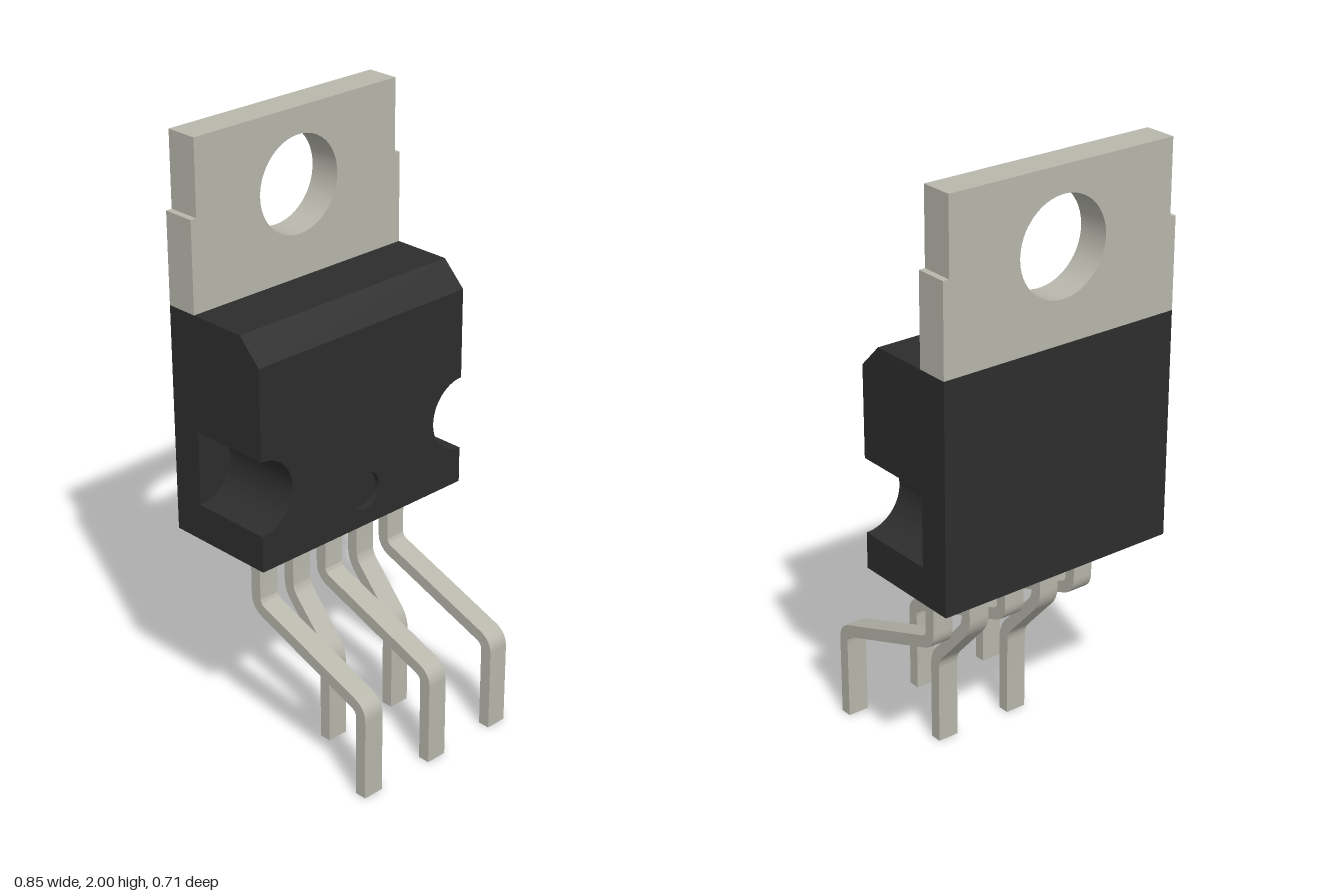
import * as THREE from 'three';
import { toCreasedNormals } from 'three/addons/utils/BufferGeometryUtils.js';

const W = 0.425;                       // half width
const BACK = -0.357, STEP = -0.248, FRONT = 0.033;

const V = (x, y) => new THREE.Vector2(x, y);

function extrude(shape, depth) {
  const g = new THREE.ExtrudeGeometry(shape, { depth, bevelEnabled: false, curveSegments: 32 });
  return toCreasedNormals(g, 0.6);
}

// Extrudes a (z, y) profile along x, centred on x = 0
function extrudeAlongX(points, width) {
  return extrude(new THREE.Shape(points), width).rotateY(-Math.PI / 2).translate(width / 2, 0, 0);
}

// Outline of a strip of given thickness along a path with rounded bends
function stripOutline(corners, thickness, bend) {
  const path = [corners[0]];
  for (let i = 1; i < corners.length - 1; i++) {
    const c = corners[i];
    const a = c.clone().add(corners[i - 1].clone().sub(c).setLength(bend));
    const b = c.clone().add(corners[i + 1].clone().sub(c).setLength(bend));
    path.push(...new THREE.QuadraticBezierCurve(a, c, b).getPoints(8));
  }
  path.push(corners[corners.length - 1]);
  const left = [], right = [];
  path.forEach((p, i) => {
    const t = path[Math.min(i + 1, path.length - 1)].clone().sub(path[Math.max(i - 1, 0)]).normalize();
    const n = V(-t.y, t.x).multiplyScalar(thickness / 2);
    left.push(p.clone().add(n));
    right.unshift(p.clone().sub(n));
  });
  return [...left, ...right];
}

export function createModel() {
  const model = new THREE.Group();
  model.name = 'transistorPackage';

  const plastic = new THREE.MeshStandardMaterial({ color: 0x2d2d2d });
  plastic.name = 'black plastic';
  const metal = new THREE.MeshStandardMaterial({ color: 0xb8b7ac });
  metal.name = 'tinned metal';

  const add = (name, geometry, material, parent = model) => {
    const mesh = new THREE.Mesh(geometry, material);
    mesh.name = name;
    parent.add(mesh);
    return mesh;
  };

  // Plastic body: back slab with chamfered top, then the notched front block
  const body = new THREE.Group();
  body.name = 'body';
  model.add(body);
  add('backSlab', extrudeAlongX([
    V(BACK, 0.71), V(STEP, 0.71), V(STEP, 1.38), V(FRONT, 1.38), V(-0.047, 1.46), V(BACK, 1.46),
  ], 2 * W), plastic, body);

  const block = new THREE.Shape();
  block.moveTo(-W, 0.71);
  block.lineTo(W, 0.71);
  block.absarc(W, 0.955, 0.124, -Math.PI / 2, Math.PI / 2, true);
  block.lineTo(W, 1.38);
  block.lineTo(-W, 1.38);
  block.absarc(-W, 0.955, 0.124, Math.PI / 2, -Math.PI / 2, true);
  block.closePath();
  block.holes.push(new THREE.Path().absarc(0, 0.83, 0.063, 0, Math.PI * 2, true));
  add('notchedFront', extrude(block, FRONT - STEP).translate(0, 0, STEP), plastic, body);

  // Floor of the shallow round mark
  add('dimpleFloor', new THREE.CircleGeometry(0.063, 32), plastic, body)
    .position.set(0, 0.83, FRONT - 0.02);

  // Metal tab with stepped shoulders and a mounting hole
  const tab = new THREE.Shape([
    V(-W, 1.46), V(W, 1.46), V(W, 1.757), V(0.404, 1.757),
    V(0.404, 2), V(-0.404, 2), V(-0.404, 1.757), V(-W, 1.757),
  ]);
  tab.holes.push(new THREE.Path().absarc(0, 1.757, 0.157, 0, Math.PI * 2, true));
  add('mountingTab', extrude(tab, STEP - BACK).translate(0, 0, BACK), metal);

  // Five bent leads, alternating long and short reach
  const legs = new THREE.Group();
  legs.name = 'leads';
  model.add(legs);
  for (let i = -2; i <= 2; i++) {
    const long = i % 2 === 0;
    const reach = long ? 0.337 : 0.033;
    const outline = stripOutline(
      [V(-0.128, 0.72), V(-0.128, 0.483), V(reach, long ? 0.312 : 0.305), V(reach, 0)], 0.04, 0.035);
    add(long ? 'longLead' : 'shortLead', extrudeAlongX(outline, 0.073), metal, legs)
      .position.x = i * 0.139;
  }
  return model;
}
